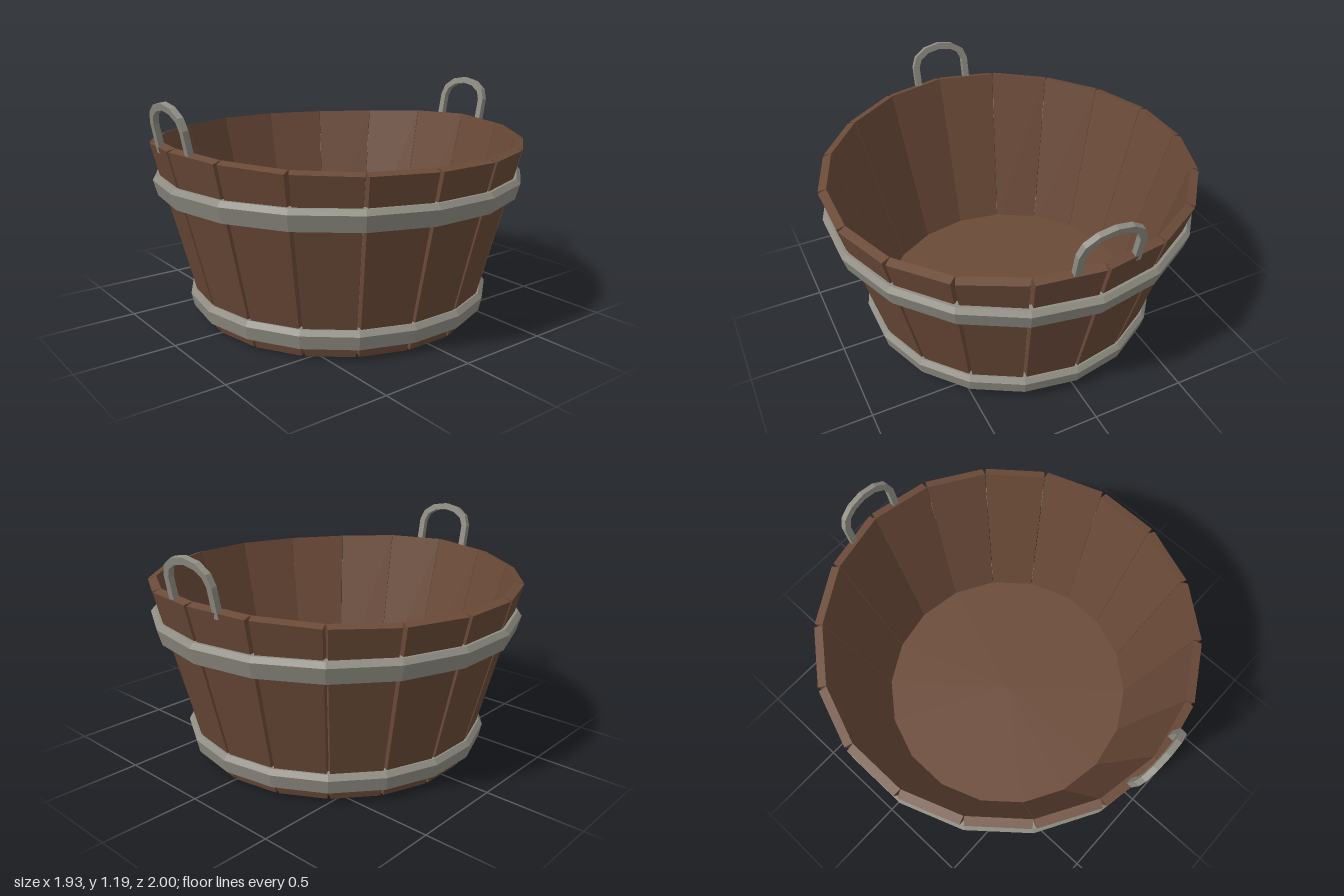
import * as THREE from 'three';

const COUNT = 18;
const HALF = Math.PI / COUNT;
const toCorner = 1 / Math.cos(HALF);

const wood = new THREE.MeshStandardMaterial({ color: 0x6b4a38 });
wood.name = 'brown wood';
const metal = new THREE.MeshStandardMaterial({ color: 0x8f8d83 });
metal.name = 'grey metal';

// Gives every face its own normal
function faceted(geometry) {
  const g = geometry.index ? geometry.toNonIndexed() : geometry;
  g.computeVertexNormals();
  return g;
}

function addMesh(parent, name, geometry, material) {
  const mesh = new THREE.Mesh(faceted(geometry), material);
  mesh.name = name;
  parent.add(mesh);
  return mesh;
}

// Flat distance from the axis to the outside of the wall
const wallRadius = (y) => 0.73 + 0.25 * y;

// One plank: a box bent to the wall, leaving a V groove on both outer edges
function staveGeometry(centre) {
  const g = new THREE.BoxGeometry(1, 1, 1);
  const p = g.attributes.position;
  for (let i = 0; i < p.count; i++) {
    const outer = p.getZ(i) > 0;
    const side = Math.sign(p.getX(i));
    const seam = centre + side * HALF;
    const angle = seam - (outer ? side * 0.011 : side * 0.001);
    // the rim rises towards the two handles
    const rim = 0.94 + 0.035 * Math.abs(Math.cos(seam)) ** 6 - (outer ? 0.012 : 0);
    const y = p.getY(i) > 0 ? rim : 0.005;
    const r = (wallRadius(y) - (outer ? 0 : 0.045)) * toCorner;
    p.setXYZ(i, r * Math.sin(angle), y, r * Math.cos(angle));
  }
  return g;
}

// Hoop with a bevelled upper edge
function hoopGeometry(bottom, top, rBottom, rTop) {
  const profile = [
    [rBottom - 0.05, bottom], [rBottom, bottom], [rTop, top - 0.025],
    [rTop - 0.02, top], [rTop - 0.06, top], [rBottom - 0.05, bottom],
  ].map(([r, y]) => new THREE.Vector2(r * toCorner, y));
  return new THREE.LatheGeometry(profile, COUNT);
}

// Upside-down U of flat bar, starting at y = 0
function handleGeometry() {
  const arch = (w, h, spring) => {
    const pts = [[-w, 0]];
    for (let i = 0; i <= 6; i++) {
      const a = Math.PI * (1 - i / 6);
      pts.push([w * Math.cos(a), spring + (h - spring) * Math.sin(a)]);
    }
    pts.push([w, 0]);
    return pts.map(([x, y]) => new THREE.Vector2(x, y));
  };
  const outline = [...arch(0.17, 0.265, 0.15), ...arch(0.135, 0.23, 0.145).reverse()];
  const g = new THREE.ExtrudeGeometry(new THREE.Shape(outline), { depth: 0.03, bevelEnabled: false });
  return g.translate(0, 0, -0.015);
}

export function createModel() {
  const tub = new THREE.Group();
  tub.name = 'tub';

  const staves = new THREE.Group();
  staves.name = 'staves';
  for (let i = 0; i < COUNT; i++) {
    addMesh(staves, 'stave' + (i + 1), staveGeometry((2 * i + 1) * HALF), wood);
  }
  tub.add(staves);

  // Base board inside the wall
  const base = new THREE.CylinderGeometry(0.715, 0.705, 0.055, COUNT);
  addMesh(tub, 'base', base, wood).position.y = 0.0295;

  addMesh(tub, 'lowerHoop', hoopGeometry(0.065, 0.16, 0.785, 0.8), metal);
  addMesh(tub, 'upperHoop', hoopGeometry(0.68, 0.785, 0.94, 0.962), metal);

  // Handles lean outwards from the front and back rim
  for (const side of [1, -1]) {
    const handle = addMesh(tub, side > 0 ? 'frontHandle' : 'backHandle', handleGeometry(), metal);
    handle.position.set(-0.015, 0.93, side * 0.936);
    handle.rotation.x = side * 0.19;
  }
  return tub;
}
